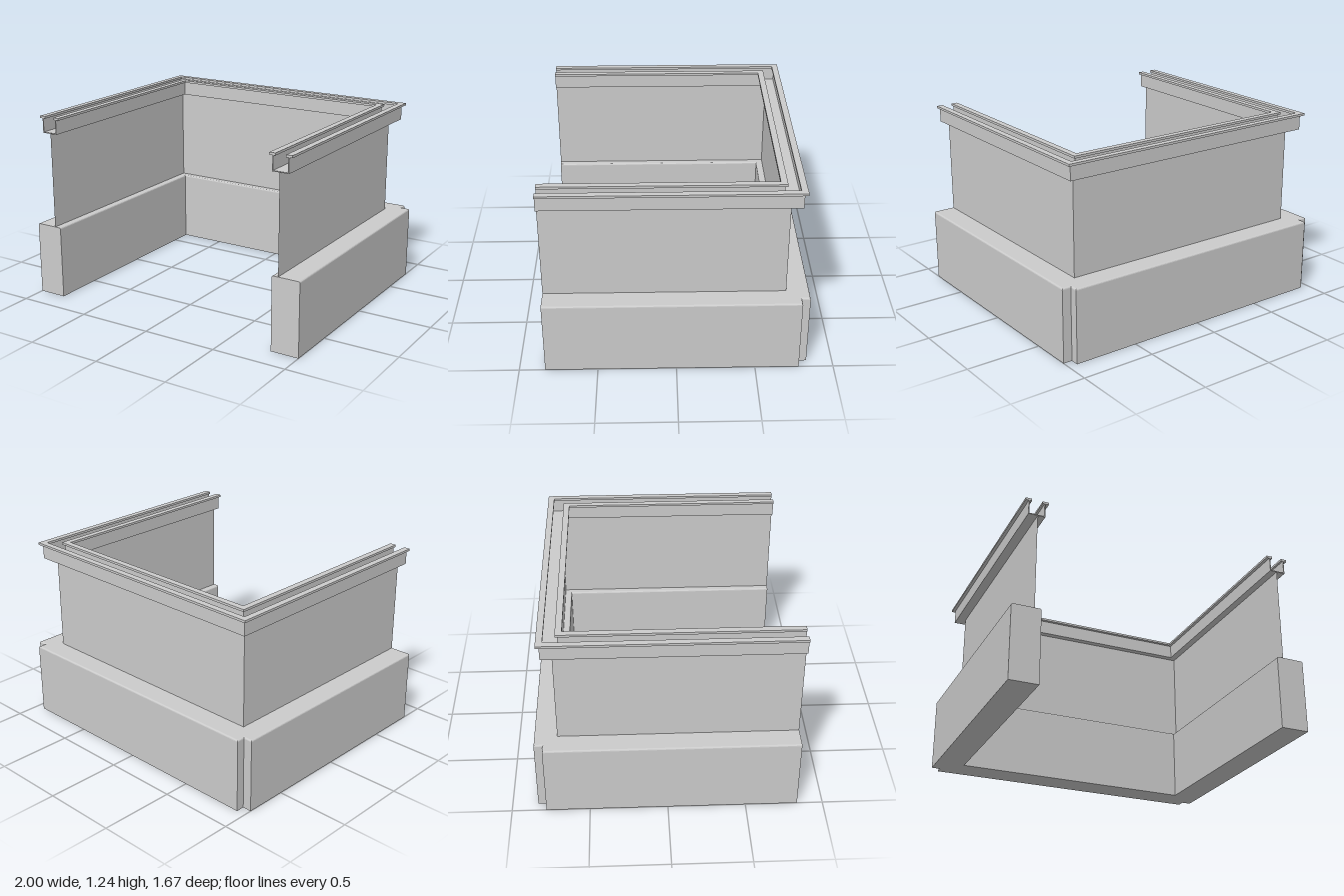
import * as THREE from 'three';
import { mergeGeometries } from 'three/addons/utils/BufferGeometryUtils.js';

const FRONT = 0.835;
const material = new THREE.MeshStandardMaterial({ color: 0xcccccc, side: THREE.DoubleSide });

// Flat-shaded geometry from a list of four-cornered faces
function quads(faces) {
  const pos = [];
  for (const [a, b, c, d] of faces) pos.push(...a, ...b, ...c, ...a, ...c, ...d);
  const g = new THREE.BufferGeometry();
  g.setAttribute('position', new THREE.Float32BufferAttribute(pos, 3));
  g.computeVertexNormals();
  return g;
}

// Flat cap in the xy plane, facing +z
function cap(points) {
  const g = new THREE.ShapeGeometry(new THREE.Shape(points.map(p => new THREE.Vector2(...p)))).toNonIndexed();
  g.deleteAttribute('uv');
  return g;
}

// Sweep a profile of [outward offset, height] round three sides with mitred corners
function sweepU(profile, halfX, backZ, closed) {
  const ring = ([d, y]) => {
    const x = halfX + d, z = backZ - d;
    return [[x, y, FRONT], [x, y, z], [-x, y, z], [-x, y, FRONT]];
  };
  const faces = [];
  const count = closed ? profile.length : profile.length - 1;
  for (let i = 0; i < count; i++) {
    const p = ring(profile[i]), q = ring(profile[(i + 1) % profile.length]);
    for (let j = 0; j < 3; j++) faces.push([p[j], p[j + 1], q[j + 1], q[j]]);
  }
  const parts = [quads(faces)];
  if (closed) {
    for (const s of [1, -1]) {
      parts.push(cap(profile.map(([d, y]) => [s * (halfX + d), y])).translate(0, 0, FRONT));
    }
  }
  return mergeGeometries(parts);
}

// Plinth outline, inset by i, with notched rear corners
function footprint(i) {
  const half = [
    [0.81 + i, FRONT], [1 - i, FRONT], [1 - i, -0.78 + i],
    [0.94 - i, -0.78 + i], [0.94 - i, -0.835 + i],
  ];
  const mirrored = half.map(([x, z]) => [-x, z]).reverse();
  return [...half, ...mirrored, [-0.81 - i, -0.645 - i], [0.81 + i, -0.645 - i]];
}

// Plinth: stacked outlines with a small rounded top edge
function plinthGeometry() {
  const height = 0.49, r = 0.01;
  const levels = [[0, 0]];
  for (let k = 0; k <= 3; k++) {
    const a = (k / 3) * Math.PI / 2;
    levels.push([height - r + r * Math.sin(a), r * (1 - Math.cos(a))]);
  }
  const rings = levels.map(([y, i]) => footprint(i).map(([x, z]) => [x, y, z]));
  const faces = [];
  for (let l = 0; l < rings.length - 1; l++) {
    const low = rings[l], high = rings[l + 1];
    low.forEach((p, j) => {
      const n = (j + 1) % low.length;
      faces.push([p, low[n], high[n], high[j]]);
    });
  }
  const top = cap(footprint(r).map(([x, z]) => [x, -z])).rotateX(-Math.PI / 2).translate(0, height, 0);
  const bottom = cap(footprint(0)).rotateX(Math.PI / 2);
  return mergeGeometries([quads(faces), top, bottom]);
}

export function createModel() {
  const group = new THREE.Group();
  const add = (name, geometry) => {
    const mesh = new THREE.Mesh(geometry, material);
    mesh.name = name;
    group.add(mesh);
  };

  add('plinth', plinthGeometry());

  // Thin wall panels
  add('wallPanels', sweepU([[0, 0.49], [0, 1.132]], 0.854, -0.69, false));

  // Hollow top rail: open channel with lips on both sides of a slot
  const t = 0.006, y0 = 1.13, y1 = 1.226, y2 = 1.241;
  const outer = [[0.055, y0], [0.055, y1], [0.076, y1], [0.076, y2], [0.035, y2], [0.035, y1],
    [0.055 - t, y1], [0.055 - t, y0 + t]];
  const inner = outer.map(([d, y]) => [-d, y]).reverse();
  add('topRail', sweepU([...outer, ...inner], 0.86, -0.702, true));

  return group;
}
